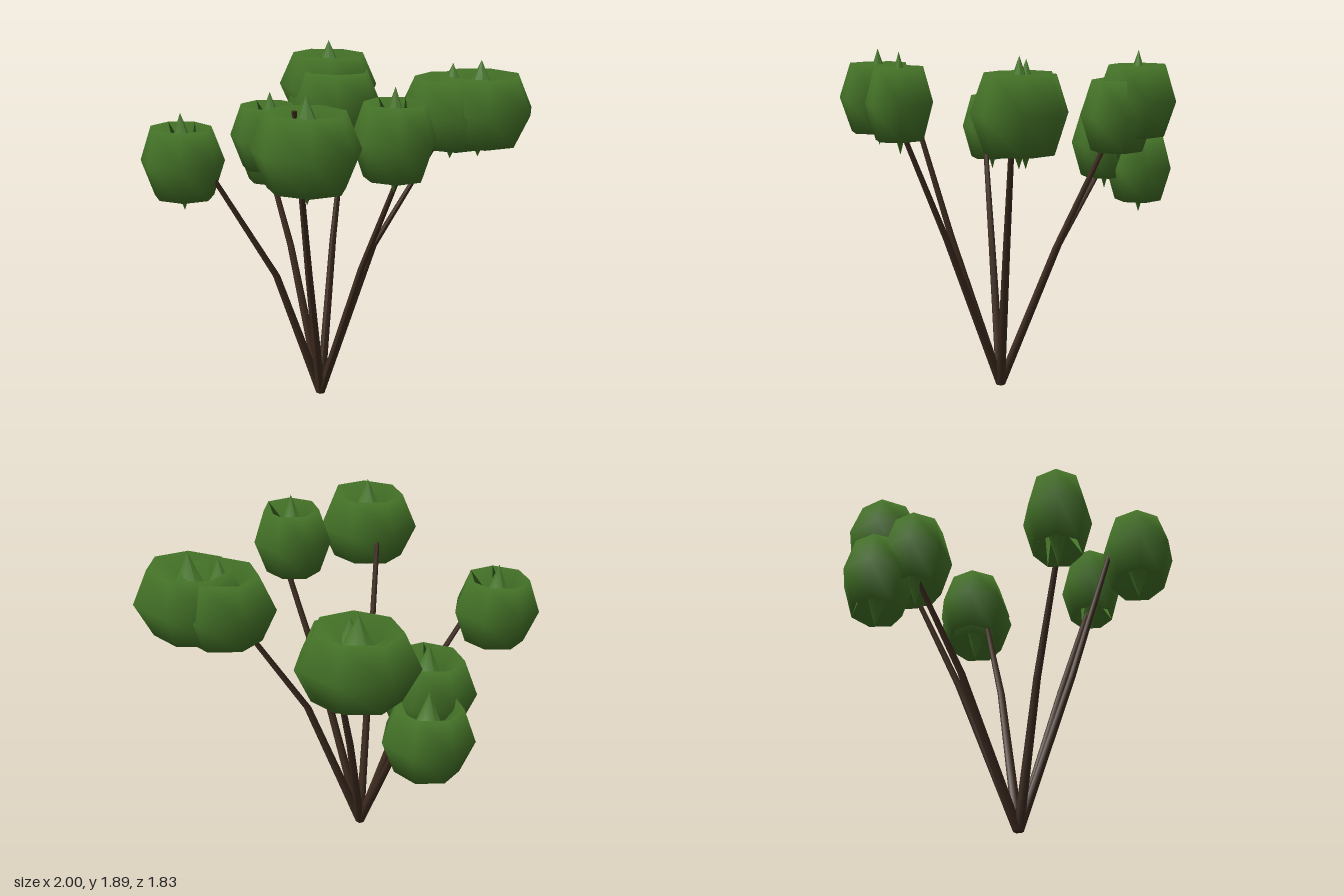
import * as THREE from 'three';

export function createModel() {
  const group = new THREE.Group();
  const leafGreen = new THREE.MeshStandardMaterial({ color: 0x457428 });
  leafGreen.name = 'leafGreen';
  const barkBrown = new THREE.MeshStandardMaterial({ color: 0x3d2b1f });
  barkBrown.name = 'barkBrown';

  // Seven-sided leaf clump: wide waist, sharp rims, hollow ends with a central spike
  const profile = [
    [0, -1], [0.38, -0.06], [0.71, -0.71], [1, 0], [0.71, 0.71], [0.38, 0.06], [0, 1],
  ].map(([r, y]) => new THREE.Vector2(r, y));
  const clumpGeometry = new THREE.LatheGeometry(profile, 7, -Math.PI / 2);

  // Centre x, y, z, then radius in x and z
  const clumps = [
    [-0.77, 1.405, 0.265, 0.23, 0.178],
    [-0.01, 1.627, 0.705, 0.275, 0.21],
    [0.366, 1.627, 0.443, 0.215, 0.175],
    [0.575, 1.607, -0.276, 0.284, 0.219],
    [0.725, 1.627, -0.28, 0.302, 0.226],
    [-0.183, 1.627, -0.703, 0.296, 0.218],
    [-0.13, 1.55, -0.61, 0.278, 0.2],
    [-0.485, 1.36, -0.48, 0.243, 0.186],
    [-0.515, 1.225, -0.675, 0.23, 0.19],
  ];
  for (const [x, y, z, rx, rz] of clumps) {
    const clump = new THREE.Mesh(clumpGeometry, leafGreen);
    clump.name = 'leafClump';
    clump.position.set(x, y, z);
    clump.scale.set(rx, 0.264, rz);
    group.add(clump);
  }

  // Tapered branches that fan out from one foot, each with a slight bend
  const foot = new THREE.Vector3(-0.09, 0, 0.03);
  const branches = [
    [[-0.31, 0.75, 0.14], [-0.675, 1.46, 0.293]],
    [[-0.09, 0.84, 0.315], [-0.09, 1.79, 0.605]],
    [[0.18, 0.88, 0.255], [0.482, 1.7, 0.475]],
    [[0.19, 0.88, -0.08], [0.6, 1.62, -0.22]],
    [[-0.08, 0.82, -0.29], [-0.06, 1.5, -0.6]],
    [[-0.32, 0.78, -0.25], [-0.56, 1.36, -0.53]],
  ];
  const p = new THREE.Vector3();
  for (const [mid, tip] of branches) {
    const path = [foot, new THREE.Vector3(...mid), new THREE.Vector3(...tip)];
    const geometry = new THREE.CylinderGeometry(0.013, 0.027, 2, 6, 2);
    const pos = geometry.attributes.position;
    for (let i = 0; i < pos.count; i++) {
      p.fromBufferAttribute(pos, i);
      const centre = path[Math.round(p.y + 1)];
      pos.setXYZ(i, centre.x + p.x, centre.y, centre.z + p.z);
    }
    geometry.computeVertexNormals();
    const branch = new THREE.Mesh(geometry, barkBrown);
    branch.name = 'branch';
    group.add(branch);
  }
  return group;
}
